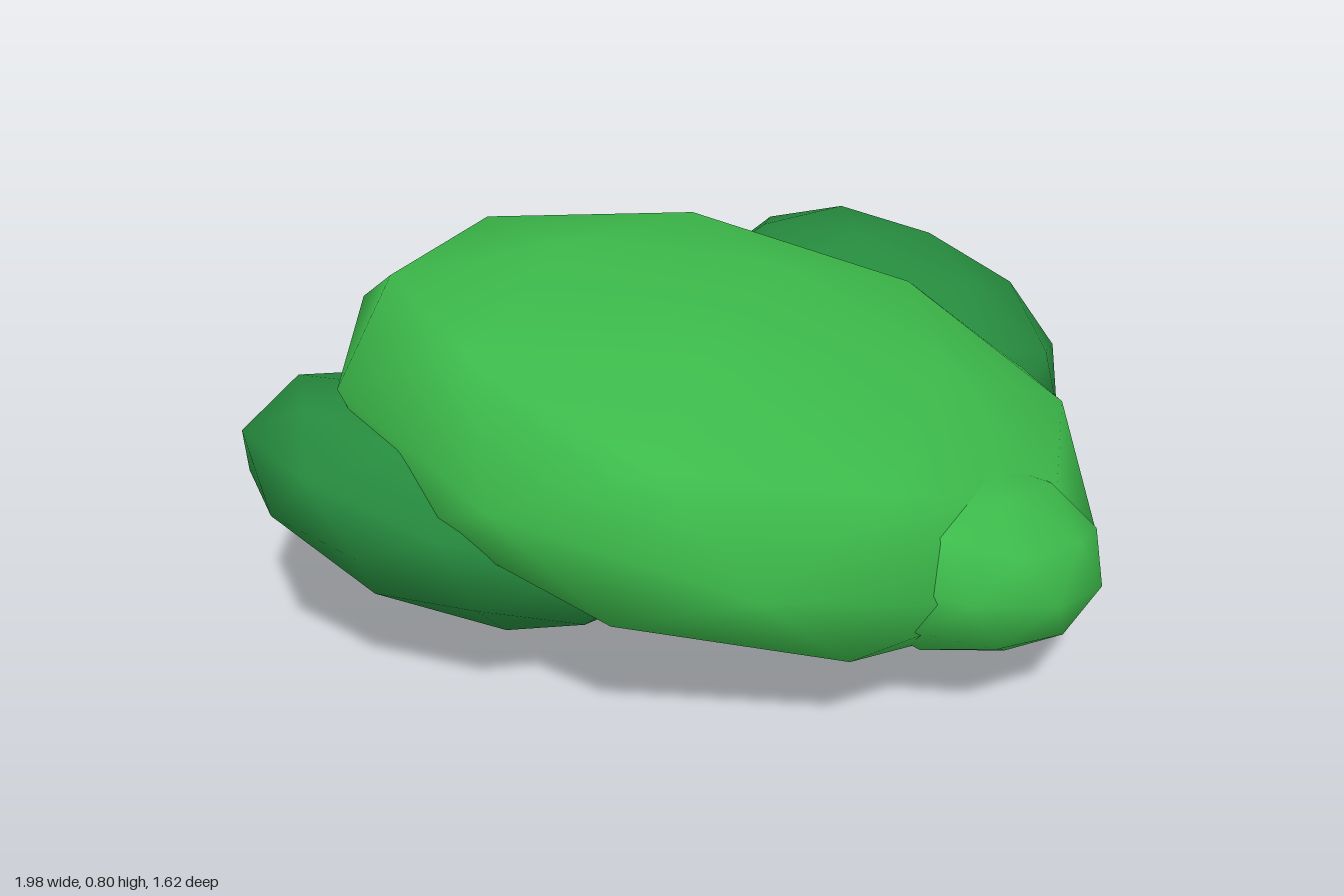
import * as THREE from 'three';

// Coarse smooth ball with a corner pointing straight up
function ball() {
  return new THREE.IcosahedronGeometry(1, 1).rotateZ(Math.atan(2 / (1 + Math.sqrt(5))));
}

export function createModel() {
  const group = new THREE.Group();
  const leafGreen = new THREE.MeshStandardMaterial({ color: 0x3cb94a });
  leafGreen.name = 'leafGreen';
  const darkGreen = new THREE.MeshStandardMaterial({ color: 0x268b3e });
  darkGreen.name = 'darkGreen';

  function addLobe(name, material, matrix) {
    const mesh = new THREE.Mesh(ball().applyMatrix4(matrix), material);
    mesh.name = name;
    group.add(mesh);
  }

  // Stretched and tilted ball
  function ellipsoid(centre, radii, tilt) {
    return new THREE.Matrix4().compose(
      new THREE.Vector3(...centre),
      new THREE.Quaternion().setFromEuler(new THREE.Euler(...tilt)),
      new THREE.Vector3(...radii));
  }

  // Broad main clump, given by its three half axes
  const main = new THREE.Matrix4().makeBasis(
    new THREE.Vector3(0.694, -0.233, 0.389),
    new THREE.Vector3(0.086, 0.326, 0.041),
    new THREE.Vector3(-0.445, 0.032, 0.67)).setPosition(-0.035, 0.41, -0.035);
  addLobe('mainFoliage', leafGreen, main);

  // Dark side clumps
  addLobe('leftFoliage', darkGreen, ellipsoid([0.605, 0.347, -0.255], [0.42, 0.255, 0.45], [0.12, 0, -0.4]));
  addLobe('rightFoliage', darkGreen, ellipsoid([-0.595, 0.33, -0.2], [0.46, 0.22, 0.42], [0, 0, -0.52]));

  // Small clumps at the front and back
  addLobe('frontFoliage', leafGreen, ellipsoid([0.09, 0.3, 0.53], [0.31, 0.19, 0.28], [0, 0, -0.25]));
  addLobe('backFoliage', leafGreen, ellipsoid([-0.2, 0.28, -0.5], [0.28, 0.19, 0.29], [0, 0, -0.2]));

  return group;
}
